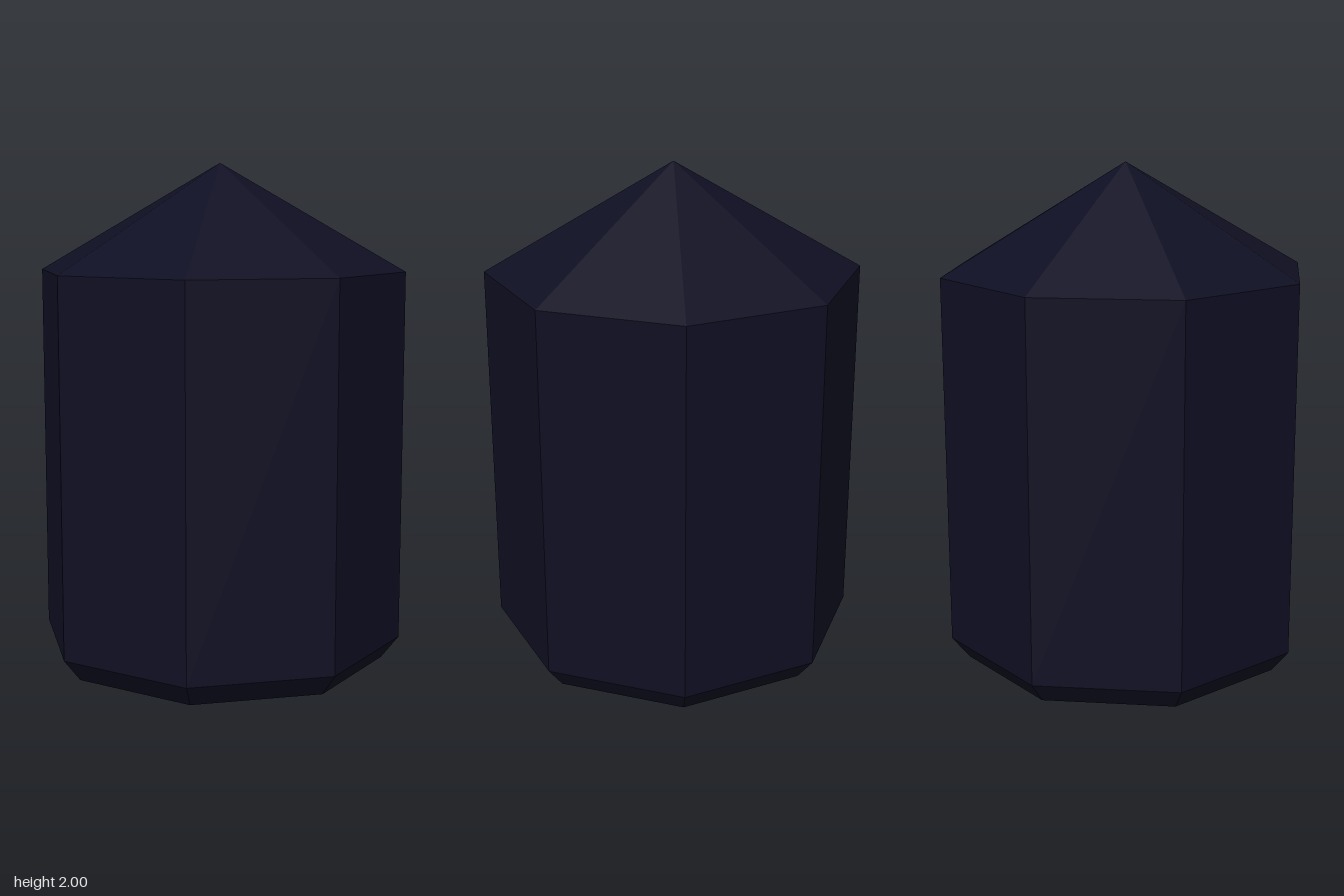
import * as THREE from 'three';

const SIDES = 8;
const RADIUS = 0.74;
const BASE_RADIUS = 0.67;
const BEVEL_TOP = 0.09;
const BODY_TOP = 1.575;
const TIP = 2;

export function createModel() {
  const group = new THREE.Group();
  group.name = 'octagonalCrystal';

  const darkNavy = new THREE.MeshStandardMaterial({ color: 0x0f0f23, flatShading: true });
  darkNavy.name = 'darkNavy';

  // Adds one faceted ring between two heights
  const addSection = (name, geometry, bottom, top) => {
    const mesh = new THREE.Mesh(geometry, darkNavy);
    mesh.name = name;
    mesh.position.y = (bottom + top) / 2;
    group.add(mesh);
  };
  const ring = (topRadius, bottomRadius, height) =>
    new THREE.CylinderGeometry(topRadius, bottomRadius, height, SIDES, 1, true);

  // Bevelled foot
  addSection('bevelledFoot', ring(RADIUS, BASE_RADIUS, BEVEL_TOP), 0, BEVEL_TOP);

  // Straight eight-sided body
  addSection('body', ring(RADIUS, RADIUS, BODY_TOP - BEVEL_TOP), BEVEL_TOP, BODY_TOP);

  // Pointed cap
  addSection('pointedCap', new THREE.ConeGeometry(RADIUS, TIP - BODY_TOP, SIDES, 1, true), BODY_TOP, TIP);

  // Flat underside, facing down with corners on the axes
  const underside = new THREE.Mesh(new THREE.CircleGeometry(BASE_RADIUS, SIDES), darkNavy);
  underside.name = 'underside';
  underside.rotation.x = Math.PI / 2;
  group.add(underside);

  return group;
}
